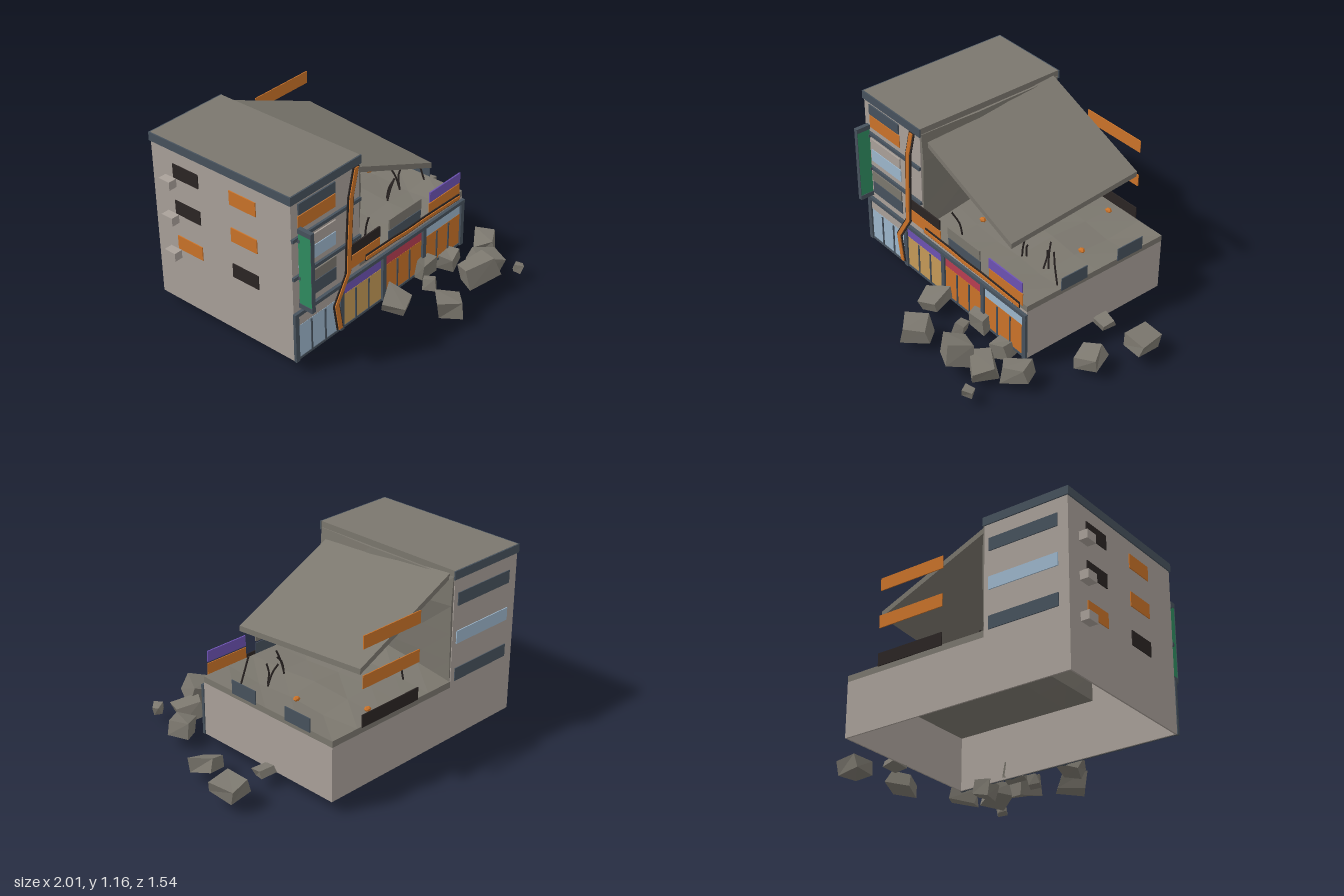
import * as THREE from 'three';

const mat = (name, color) => {
  const m = new THREE.MeshStandardMaterial({ color });
  m.name = name;
  return m;
};

export function createModel() {
  const M = {
    wall: mat('wall plaster', 0xaaa19a),
    concrete: mat('concrete', 0x7b776e),
    trim: mat('slate trim', 0x47525d),
    glass: mat('pale blue glass', 0x9db7cd),
    orange: mat('orange glow', 0xcb7329),
    tan: mat('tan glass', 0xc59a58),
    purple: mat('purple sign', 0x6d52b3),
    red: mat('red sign', 0xb83e52),
    green: mat('green sign', 0x2f8d60),
    black: mat('charred black', 0x2b2524),
  };
  const root = new THREE.Group();
  root.name = 'collapsedBuilding';

  const add = (name, geo, m) => {
    const mesh = new THREE.Mesh(geo, m);
    mesh.name = name;
    root.add(mesh);
    return mesh;
  };
  // Box given by its limits on each axis
  const box = (name, m, x0, x1, y0, y1, z0, z1) => {
    const mesh = add(name, new THREE.BoxGeometry(x1 - x0, y1 - y0, z1 - z0), m);
    mesh.position.set((x0 + x1) / 2, (y0 + y1) / 2, (z0 + z1) / 2);
  };
  // Moves every vertex by a rule and leaves flat facets
  const warp = (geo, rule) => {
    const g = geo.toNonIndexed(), p = g.attributes.position, v = new THREE.Vector3();
    for (let i = 0; i < p.count; i++) {
      v.fromBufferAttribute(p, i);
      rule(v);
      p.setXYZ(i, v.x, v.y, v.z);
    }
    g.computeVertexNormals();
    return g;
  };
  const hash = (a, b, c, d) => {
    const s = Math.sin(a * 127.1 + b * 311.7 + c * 74.7 + d * 53.3) * 43758.5453;
    return s - Math.floor(s);
  };

  // Outer shell, open underneath
  const L = -0.945, T = -0.39, R = 0.58, B = -0.77, F = 0.28, base = 0.07, low = 0.415;
  const t = 0.01;
  box('lowerFrontWall', M.wall, T, R, base, low, F - t, F);
  box('lowerBackWall', M.wall, T, R, base, low, B, B + t);
  box('rightWall', M.wall, R - t, R, base, low, B + t, F - t);
  box('towerFrontWall', M.wall, L, T, base, 1.1, F - t, F);
  box('towerBackWall', M.wall, L, T, base, 1.1, B, B + t);
  box('leftWall', M.wall, L, L + t, base, 1.1, B + t, F - t);

  // Tower roof and parapet
  box('roof', M.concrete, L, T + 0.005, 1.1, 1.154, B, F);
  box('parapetFront', M.trim, L - 0.008, T + 0.01, 1.1, 1.153, F, F + 0.008);
  box('parapetBack', M.trim, L - 0.008, T + 0.01, 1.1, 1.153, B - 0.008, B);
  box('parapetLeft', M.trim, L - 0.008, L, 1.1, 1.153, B, F);

  // Torn inner wall of the tower, bulging near the top
  const torn = warp(new THREE.BoxGeometry(0.015, 0.7, 1.04, 1, 4, 5), (v) => {
    const up = v.y / 0.7 + 0.5;
    const rim = Math.abs(v.z) > 0.51 ? 0.35 : 1;
    const bulge = up > 0.9 ? 0.02 : up > 0.2 ? 0.065 * up : 0;
    v.x += rim * bulge * (0.4 + 0.6 * hash(Math.round(v.y * 50), Math.round(v.z * 50), 1, 2));
  });
  add('tornTowerWall', torn, M.concrete).position.set(T - 0.003, 0.765, -0.245);

  // Buckled floor over the lower storey, highest beside the tower
  const floor = warp(new THREE.BoxGeometry(R - T, 0.04, F - B, 5, 1, 4), (v) => {
    const u = THREE.MathUtils.clamp((v.x + 0.485) / 0.97, 0, 1);
    const w = THREE.MathUtils.clamp(1 - Math.abs(v.z) / 0.525, 0, 1);
    const inside = w > 0.01 && u > 0.01 && u < 0.99;
    const dip = inside ? 0.03 * hash(Math.round(u * 5), Math.round(v.z * 8), 3, 4) : 0;
    v.y += 0.08 * w * (1 - u) ** 1.5 - dip;
  });
  add('buckledFloor', floor, M.concrete).position.set((T + R) / 2, 0.435, (B + F) / 2);

  // Fallen roof slab: a box bent onto four uneven corners
  const corner = {
    a: new THREE.Vector3(-0.385, 1.13, -0.735), b: new THREE.Vector3(-0.385, 1.055, 0.235),
    c: new THREE.Vector3(0.355, 0.73, 0.21), d: new THREE.Vector3(0.355, 0.805, -0.755),
  };
  const slab = warp(new THREE.BoxGeometry(1, 1, 1), (v) => {
    const u = v.x + 0.5, w = v.z + 0.5, drop = (0.5 - v.y) * 0.035;
    const back = corner.a.clone().lerp(corner.d, u), front = corner.b.clone().lerp(corner.c, u);
    v.copy(back.lerp(front, w));
    v.y -= drop;
  });
  add('fallenRoofSlab', slab, M.concrete);

  // Shopfronts
  const bays = [
    [M.glass, M.wall], [M.tan, M.purple], [M.orange, M.red], [M.orange, M.glass],
  ];
  bays.forEach(([glass, sign], i) => {
    const x0 = -0.925 + i * 0.378, x1 = x0 + 0.345;
    box('shopGlass', glass, x0, x1, 0.08, 0.3, F, F + 0.006);
    box('shopSign', sign, x0 + 0.005, x1 - 0.005, 0.305, 0.365, F, F + 0.009);
    box('shopSill', M.trim, x0, x1, base, 0.085, F, F + 0.01);
    for (const k of [1, 2]) {
      const x = x0 + (k * (x1 - x0)) / 3;
      box('shopMullion', M.trim, x - 0.005, x + 0.005, 0.08, 0.295, F, F + 0.012);
    }
  });
  for (let i = 0; i < 5; i++) {
    const x = -0.935 + i * 0.3765;
    box('shopPost', M.trim, x - 0.015, x + 0.015, base, 0.38, F, F + 0.018);
  }
  box('shopCornice', M.trim, L - 0.006, R + 0.006, 0.375, 0.398, F, F + 0.02);
  for (const y of [0.63, 0.877]) box('floorBand', M.trim, L - 0.003, T, y - 0.011, y + 0.011, F, F + 0.015);

  // Front windows with the panel above each one: x centre, y, window, panel
  const frontWindows = [
    [-0.743, 0.965, M.orange, M.trim], [-0.743, 0.72, M.glass, M.wall], [-0.743, 0.483, M.trim, M.concrete],
    [-0.363, 0.483, M.orange, M.black], [0.015, 0.483, M.trim, M.concrete], [0.395, 0.483, M.orange, M.purple],
  ];
  for (const [x, y, win, panel] of frontWindows) {
    box('frontWindow', win, x - 0.15, x + 0.15, y - 0.042, y + 0.042, F, F + 0.005);
    box('frontPanel', panel, x - 0.148, x + 0.148, y + 0.052, y + 0.12, F, F + 0.009);
  }

  // Back and side windows, three rows each
  const rows = [0.97, 0.73, 0.49];
  const backCols = [[-0.65, [M.trim, M.glass, M.trim]], [0.125, [M.orange, M.orange, M.black]]];
  for (const [x, ms] of backCols) {
    rows.forEach((y, i) => box('backWindow', ms[i], x - 0.228, x + 0.228, y - 0.04, y + 0.04, B - 0.006, B));
  }
  const sideCols = [[-0.505, [M.black, M.black, M.orange]], [-0.07, [M.orange, M.orange, M.black]]];
  for (const [z, ms] of sideCols) {
    rows.forEach((y, i) => box('leftWindow', ms[i], L - 0.006, L, y - 0.045, y + 0.045, z - 0.098, z + 0.098));
    box('rightWindow', M.trim, R, R + 0.006, 0.443, 0.53, z - 0.098, z + 0.098);
  }
  // Air conditioners on the left wall
  for (const y of [0.892, 0.652, 0.41]) box('airConditioner', M.wall, -1, L, y - 0.027, y + 0.027, -0.67, -0.587);

  // Upright blade sign with caps and brackets
  box('bladeSign', M.green, -0.908, -0.886, 0.46, 0.915, 0.295, 0.385);
  box('bladeSignTop', M.trim, -0.911, -0.883, 0.915, 0.945, 0.292, 0.388);
  box('bladeSignBottom', M.trim, -0.911, -0.883, 0.43, 0.46, 0.292, 0.388);
  box('bladeSignEdge', M.trim, -0.911, -0.883, 0.46, 0.915, 0.385, 0.388);
  for (const y of [0.627, 0.867]) box('signBracket', M.trim, -0.912, -0.882, y - 0.01, y + 0.01, F, 0.305);

  // Glowing cracks: a wide black strip under a narrow orange one
  const strip = (name, m, pts, dx, dy, z) => {
    const up = pts.map(([x, y]) => new THREE.Vector2(x + dx, y + dy));
    const down = pts.map(([x, y]) => new THREE.Vector2(x - dx, y - dy)).reverse();
    const g = new THREE.ExtrudeGeometry(new THREE.Shape([...up, ...down]), { depth: 0.006, bevelEnabled: false });
    add(name, g, m).position.z = z;
  };
  const tall = [[-0.44, 1.11], [-0.485, 0.94], [-0.495, 0.78], [-0.505, 0.6], [-0.51, 0.45], [-0.615, 0.28], [-0.585, 0.1]];
  const wide = [[-0.35, 0.458], [-0.1, 0.455], [0.02, 0.448], [0.2, 0.45], [0.53, 0.44]];
  strip('tallCrackEdge', M.black, tall, 0.026, 0, 0.296);
  strip('tallCrackGlow', M.orange, tall, 0.015, 0, 0.303);
  strip('wideCrackEdge', M.black, wide, 0, 0.021, 0.29);
  strip('wideCrackGlow', M.orange, wide, 0, 0.011, 0.297);

  // Bent reinforcing bars: foot, middle, tip
  const bars = [
    [[-0.18, 0.45, 0.145], [-0.185, 0.54, 0.16], [-0.21, 0.63, 0.2]],
    [[0.2, 0.44, 0.0], [0.22, 0.53, 0.01], [0.245, 0.6, 0.02]],
    [[0.22, 0.44, -0.02], [0.23, 0.53, -0.01], [0.26, 0.57, 0.0]],
    [[0.36, 0.44, -0.03], [0.37, 0.53, -0.05], [0.38, 0.585, -0.04]],
    [[0.38, 0.44, -0.05], [0.36, 0.53, -0.07], [0.34, 0.59, -0.1]],
    [[0.54, 0.44, 0.02], [0.5, 0.57, 0.01], [0.48, 0.65, 0.0]],
    [[-0.2, 0.45, -0.58], [-0.19, 0.53, -0.57], [-0.2, 0.6, -0.55]],
  ];
  for (const b of bars) {
    const curve = new THREE.CatmullRomCurve3(b.map((p) => new THREE.Vector3(...p)));
    add('reinforcingBar', new THREE.TubeGeometry(curve, 6, 0.006, 5), M.black);
  }
  // Embers on the floor
  for (const [x, y, z] of [[-0.19, 0.485, -0.02], [0.21, 0.475, -0.68], [0.39, 0.46, -0.3]]) {
    const ember = add('ember', new THREE.IcosahedronGeometry(0.02, 0), M.orange);
    ember.position.set(x, y, z);
    ember.scale.set(1.2, 0.8, 1);
  }

  // Rubble blocks: x, y, z, width, height, depth, turn
  const rubble = [
    [-0.17, 0.09, 0.38, 0.14, 0.07, 0.15, 0.3], [0, 0.1, 0.63, 0.15, 0.1, 0.14, 0.75],
    [0.12, 0.07, 0.4, 0.06, 0.07, 0.08, 0.5], [0.33, 0.14, 0.59, 0.18, 0.12, 0.16, -0.4],
    [0.5, 0.1, 0.54, 0.17, 0.1, 0.15, -0.5], [0.65, 0.1, 0.41, 0.16, 0.09, 0.13, 0.6],
    [0.59, 0.075, 0.715, 0.06, 0.05, 0.05, 0.5], [0.42, 0.06, 0.31, 0.11, 0.09, 0.1, 0.2],
    [0.19, 0.12, 0.31, 0.13, 0.1, 0.07, 0.1], [0.63, 0.085, -0.28, 0.1, 0.05, 0.08, -0.2],
    [0.81, 0.09, 0.0, 0.16, 0.08, 0.14, 0.4], [0.92, 0.115, -0.31, 0.13, 0.09, 0.16, 0.15],
  ];
  rubble.forEach(([x, y, z, w, h, d, turn], i) => {
    const g = warp(new THREE.BoxGeometry(w, h, d), (v) => {
      const [a, b, c] = [Math.sign(v.x), Math.sign(v.y), Math.sign(v.z)];
      v.x *= 0.75 + 0.5 * hash(a, b, c, i);
      v.y *= 0.75 + 0.5 * hash(b, c, a, i + 20);
      v.z *= 0.75 + 0.5 * hash(c, a, b, i + 40);
    });
    const block = add('rubbleBlock', g, M.concrete);
    block.position.set(x, y, z);
    block.rotation.set(0.5 * (hash(i, 1, 2, 3) - 0.5), turn, 0.6 * (hash(i, 4, 5, 6) - 0.5));
  });

  return root;
}
